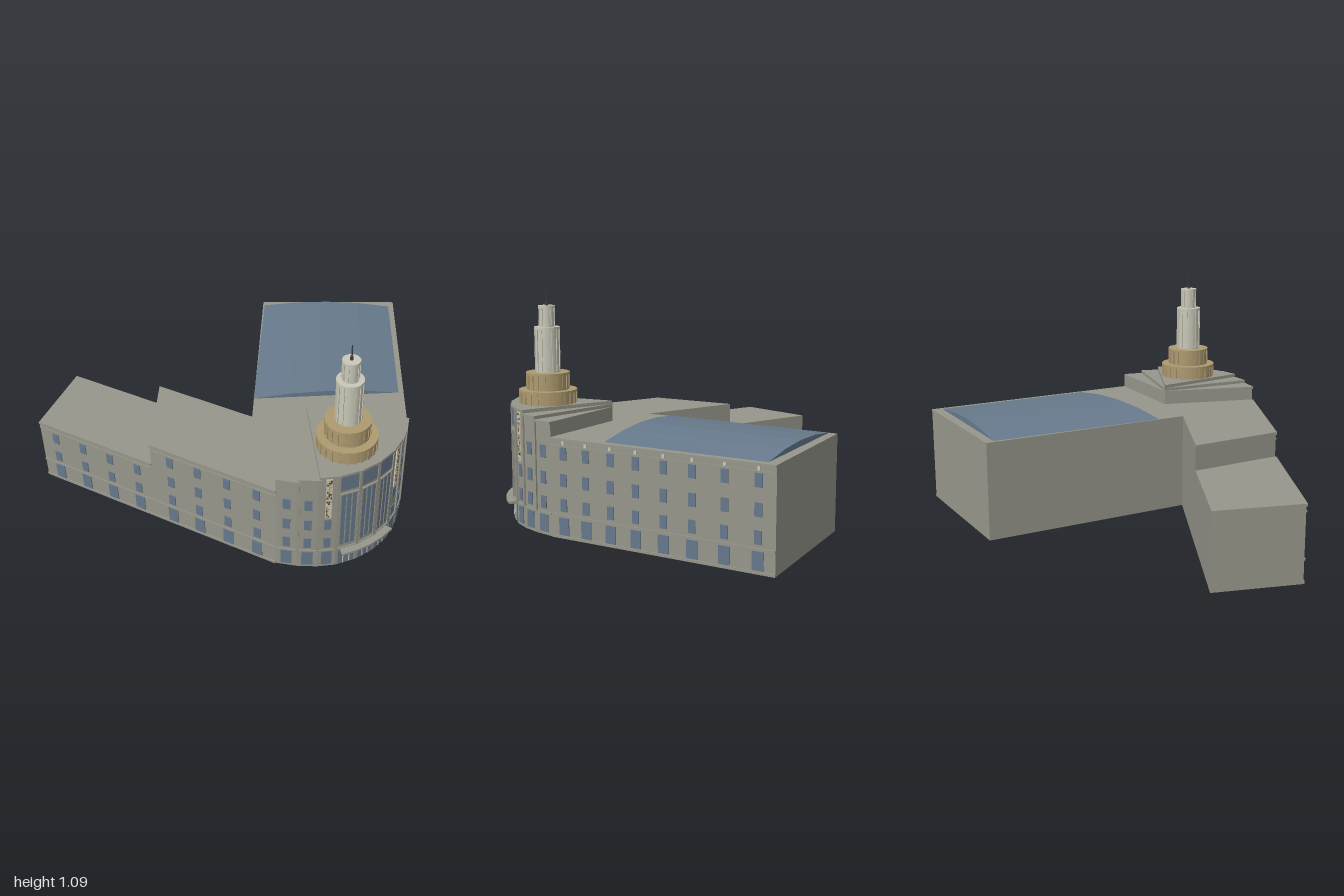
import * as THREE from 'three';

const mat = (name, color) => Object.assign(
  new THREE.MeshStandardMaterial({ color, side: THREE.DoubleSide }), { name });

export function createModel() {
  const model = new THREE.Group();
  const stone = mat('stone', 0x96968b);
  const glass = mat('glass', 0x66788b);
  const slate = mat('blueRoof', 0x677a8c);
  const tan = mat('tanStone', 0xae9a70);
  const cream = mat('creamStone', 0xcac8b8);
  const brown = mat('mosaicBrown', 0x5f4c30);
  const dark = mat('darkMetal', 0x3c3d3c);

  const add = (name, geo, material, parent = model) => {
    const m = new THREE.Mesh(geo, material);
    m.name = name;
    parent.add(m);
    return m;
  };
  const group = (name) => {
    const g = new THREE.Group();
    g.name = name;
    model.add(g);
    return g;
  };
  const faceted = (pos) => {
    const g = new THREE.BufferGeometry();
    g.setAttribute('position', new THREE.Float32BufferAttribute(pos, 3));
    g.computeVertexNormals();
    return g;
  };

  // Walls and flat top over a convex plan, anticlockwise from above, open below
  const prism = (pts, y0, y1) => {
    const pos = [];
    pts.forEach(([ax, az], i) => {
      const [bx, bz] = pts[(i + 1) % pts.length];
      pos.push(ax, y0, az, bx, y0, bz, bx, y1, bz, ax, y0, az, bx, y1, bz, ax, y1, az);
      if (i > 0 && i < pts.length - 1) pos.push(pts[0][0], y1, pts[0][1], ax, y1, az, bx, y1, bz);
    });
    return faceted(pos);
  };

  // Box set on the wall from p to q, centred at fraction t and height y
  const onWall = (name, p, q, t, y, w, h, d, material, parent) => {
    const m = add(name, new THREE.BoxGeometry(w, h, d), material, parent);
    m.position.set(p[0] + (q[0] - p[0]) * t, y, p[1] + (q[1] - p[1]) * t);
    m.rotation.y = Math.atan2(p[1] - q[1], q[0] - p[0]);
    return m;
  };
  const span = (p, q) => Math.hypot(q[0] - p[0], q[1] - p[1]);

  // Plan corners
  const cx = -0.01, H = 0.457, LOW = 0.342;
  const inner = [-0.19, 0.1];
  const arc = [[-0.37, 0.58], [-0.3, 0.65], [-0.225, 0.705], [-0.15, 0.742], [-0.05, 0.765],
    [0.05, 0.765], [0.15, 0.742], [0.225, 0.705], [0.3, 0.65], [0.37, 0.58]]
    .map(([x, z]) => [x + cx, z]);
  const L = arc[0], R = arc[9];
  const lStep = [-0.69, 0.005], lStepIn = [-0.44, -0.355];
  const lEnd = [-1, -0.57], lEndIn = [-0.69, -0.81];
  const rEnd = [1, -0.31], rEndIn = [0.41, -0.71];

  // Main blocks
  add('leftWing', prism([lStep, L, inner, lStepIn], 0, H), stone);
  add('leftWingEnd', prism([lEnd, lStep, lStepIn, lEndIn], 0, LOW), stone);
  add('rightWing', prism([inner, R, rEnd, rEndIn], 0, H), stone);
  add('curvedFront', prism([inner, ...arc], 0, H), stone);

  // Stepped fan of wedges over the curved front
  const tops = [0.525, 0.54, 0.556, 0.556, 0.556, 0.556, 0.556, 0.54, 0.525];
  const fan = group('steppedParapet');
  tops.forEach((top, i) =>
    add('wedge', prism([[cx, 0.29], arc[i], arc[i + 1]], H, top), stone, fan));

  // Wing windows, string course and cornice
  const rows = [[0.055, 0.052, 0.08], [0.153, 0.034, 0.058], [0.267, 0.034, 0.058], [0.387, 0.034, 0.058]];
  const facade = (name, p, q, xs, floors, top) => {
    const g = group(name);
    for (const x of xs) {
      const t = (x - p[0]) / (q[0] - p[0]);
      rows.slice(0, floors).forEach(([y, w, h]) => onWall('window', p, q, t, y, w, h, 0.008, glass, g));
    }
    onWall('stringCourse', p, q, 0.5, 0.105, span(p, q), 0.008, 0.01, stone, g);
    onWall('cornice', p, q, 0.5, top - 0.006, span(p, q), 0.012, 0.012, stone, g);
    onWall('frieze', p, q, 0.5, top - 0.032, span(p, q), 0.005, 0.008, stone, g);
    onWall('plinth', p, q, 0.5, 0.006, span(p, q), 0.012, 0.01, stone, g);
    return g;
  };
  facade('leftWingFacade', lStep, L, [-0.64, -0.57, -0.497, -0.425], 4, H);
  facade('leftWingEndFacade', lEnd, lStep, [-0.957, -0.88, -0.805, -0.73], 3, LOW);
  const rightXs = [0.4, 0.47, 0.545, 0.62, 0.7, 0.78, 0.867, 0.955];
  const rightFacade = facade('rightWingFacade', R, rEnd, rightXs, 4, H);
  rightXs.forEach((x) => onWall('creamBlock', R, rEnd, (x - R[0]) / (rEnd[0] - R[0]),
    0.438, 0.012, 0.022, 0.009, cream, rightFacade));

  // Curved front bays
  const front = group('frontBays');
  let seed = 7;
  const rand = () => (seed = (seed * 16807) % 2147483647) / 2147483647;
  tops.forEach((top, i) => {
    const p = arc[i], q = arc[i + 1], w = span(p, q);
    const put = (name, t, y, bw, h, d, m) => onWall(name, p, q, t, y, bw, h, d, m, front);
    put('stringCourse', 0.5, 0.105, w, 0.008, 0.012, stone);
    put('parapetCap', 0.5, top - 0.006, w, 0.012, 0.012, stone);
    if (i >= 3 && i <= 5) {
      // Tall glazed bay with doors below and a glass panel above
      put('doors', 0.5, 0.05, 0.078, 0.084, 0.008, glass);
      put('tallWindow', 0.5, 0.285, 0.074, 0.31, 0.008, glass);
      put('upperWindow', 0.5, 0.503, 0.084, 0.082, 0.008, glass);
      for (const s of [-1, 1]) {
        put('frameSide', 0.5 + s * 0.4, 0.285, 0.006, 0.322, 0.016, stone);
        put('mullion', 0.5 + s * 0.13, 0.285, 0.004, 0.31, 0.014, stone);
        put('doorPost', 0.5 + s * 0.15, 0.05, 0.004, 0.084, 0.014, cream);
      }
      put('frameTop', 0.5, 0.442, 0.086, 0.007, 0.016, stone);
    } else if (i === 2 || i === 6) {
      // Mosaic strip with windows beneath
      put('mosaicPanel', 0.5, 0.425, 0.027, 0.23, 0.012, cream);
      for (let r = 0; r < 20; r++) {
        for (let c = 0; c < 3; c++) {
          if (rand() < 0.55) {
            put('mosaicTile', 0.5 + (c - 1) * 0.008 / w, 0.322 + r * 0.011, 0.007, 0.009, 0.016,
              rand() < 0.5 ? brown : tan);
          }
        }
      }
      rows.slice(0, 3).forEach(([y, ww, h]) => put('window', 0.5, y, ww * 0.9, h, 0.008, glass));
    } else {
      rows.forEach(([y, ww, h]) => put('window', 0.5, y, ww, h, 0.008, glass));
    }
  });
  // Piers at the joints of the facets
  arc.slice(1, 9).forEach(([x, z], i) => {
    const h = Math.min(tops[i], tops[i + 1]) - 0.105;
    const pier = add('pier', new THREE.BoxGeometry(0.014, h, 0.014), stone, front);
    pier.position.set(x, 0.105 + h / 2, z);
    pier.rotation.y = Math.atan2(x - cx, z - 0.29);
  });

  // Entrance canopy
  const canopyPlan = [[-0.12, 0.72], [-0.145, 0.785], [-0.075, 0.801], [0, 0.807],
    [0.075, 0.801], [0.145, 0.785], [0.12, 0.72]].map(([x, z]) => [x + cx, z]);
  add('canopy', prism(canopyPlan, 0.093, 0.104), stone);

  // Shallow vaulted roof on the right wing
  const A = [-0.11, -0.01], B = [0.505, 0.345], C = [0.955, -0.285], D = [0.395, -0.675];
  const section = (p, q) => [0, 0.25, 0.5, 0.75, 1].map((u) =>
    [p[0] + (q[0] - p[0]) * u, H + 0.002 + 0.028 * (1 - (2 * u - 1) ** 2), p[1] + (q[1] - p[1]) * u]);
  const near = section(A, B), far = section(D, C), pos = [];
  for (let i = 0; i < 4; i++) {
    pos.push(...near[i], ...near[i + 1], ...far[i + 1], ...near[i], ...far[i + 1], ...far[i]);
    if (i) {
      pos.push(...near[0], ...near[i + 1], ...near[i]);
      pos.push(...far[0], ...far[i], ...far[i + 1]);
    }
  }
  add('vaultedRoof', faceted(pos), slate);

  // Tiered tower: [name, radius, bottom, top, ribs, material]
  const tower = group('tower');
  tower.position.set(cx, 0, 0.595);
  const drum = (name, r, y0, y1, m, n = 32) => {
    const d = add(name, new THREE.CylinderGeometry(r, r, y1 - y0, n), m, tower);
    d.position.y = (y0 + y1) / 2;
  };
  [['lowerDrum', 0.138, 0.54, 0.62, 24, tan], ['upperDrum', 0.104, 0.62, 0.702, 20, tan],
    ['shaft', 0.061, 0.702, 0.917, 14, cream], ['lantern', 0.04, 0.917, 1.017, 10, cream],
  ].forEach(([name, r, y0, y1, ribs, m]) => {
    drum(name, r - 0.004, y0, y1 - 0.004, m);
    drum(name + 'Cap', r, y1 - 0.012, y1, m);
    for (let k = 0; k < ribs; k++) {
      const a = (k + 0.5) / ribs * Math.PI * 2;
      const rib = add(name + 'Rib', new THREE.BoxGeometry(r * 0.11, y1 - y0 - 0.01, 0.008), m, tower);
      rib.position.set(Math.sin(a) * (r - 0.004), (y0 + y1) / 2, Math.cos(a) * (r - 0.004));
      rib.rotation.y = a;
    }
  });
  drum('mastBase', 0.007, 1.017, 1.035, dark, 10);
  drum('mast', 0.003, 1.035, 1.088, dark, 8);

  return model;
}
